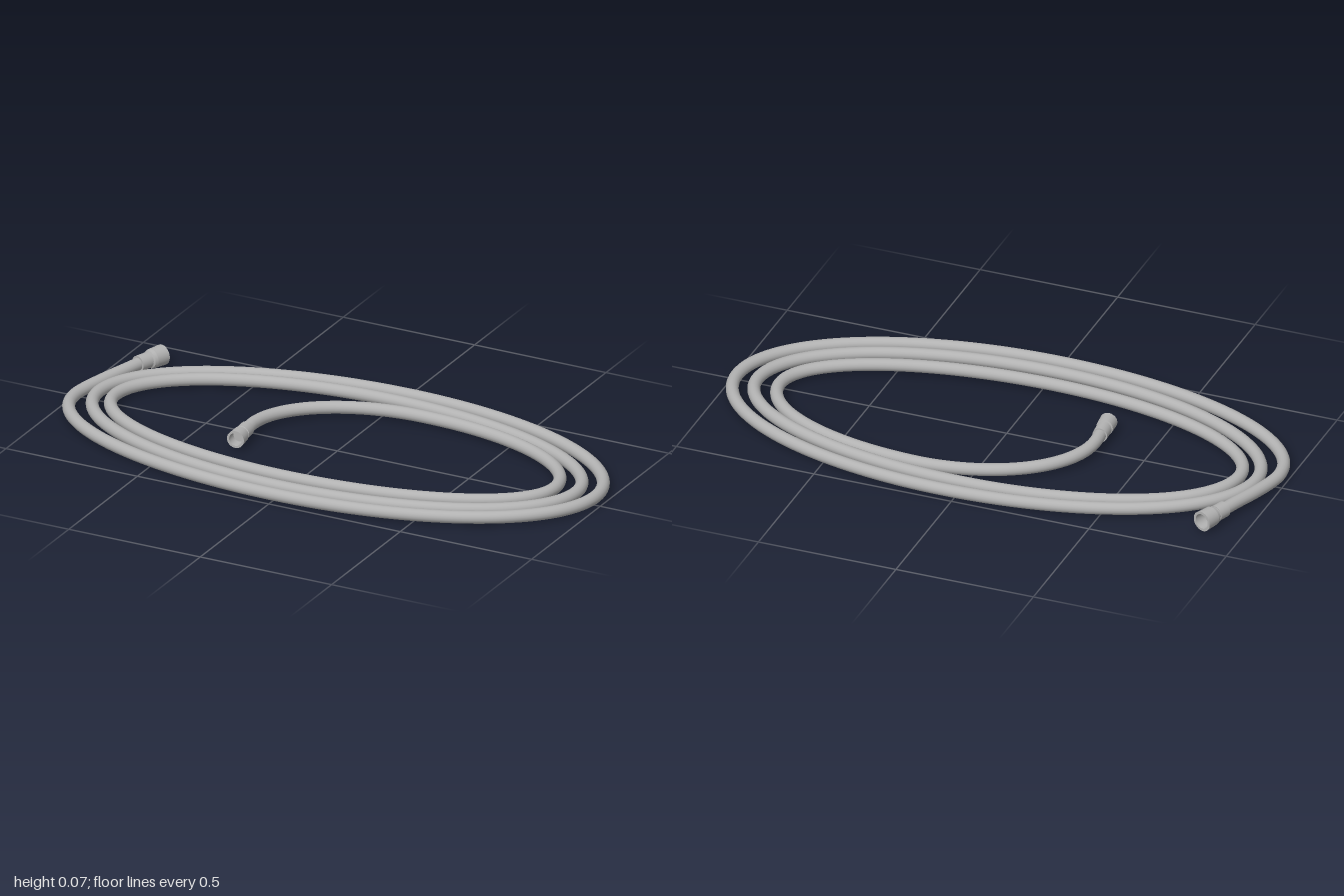
import * as THREE from 'three';

const HOSE_R = 0.022;
const HOSE_Y = 0.029;
const END_Y = 0.039;

// Spiral extremes [x, z], going left, front, right, back in turn
const EXTREMES = [
  [-0.976, 0.04], [0, 0.473], [0.976, -0.01], [0.04, -0.476],
  [-0.917, -0.02], [-0.01, 0.406], [0.902, -0.01], [0, -0.409],
  [-0.855, -0.02], [-0.03, 0.324], [0.82, -0.01], [0.17, -0.337],
  [-0.322, 0.0],
];

// Quarter ellipses joined with matching tangents
function hosePath() {
  const pts = [];
  const add = (x, y, z) => pts.push(new THREE.Vector3(x, y, z));
  add(-0.888, END_Y, -0.29);
  add(-0.912, 0.037, -0.21);
  add(-0.945, 0.033, -0.11);
  add(-0.969, 0.03, -0.02);
  const steps = 10;
  for (let i = 0; i < EXTREMES.length - 1; i++) {
    const [x0, z0] = EXTREMES[i];
    const [x1, z1] = EXTREMES[i + 1];
    const last = i === EXTREMES.length - 2;
    for (let k = 0; k < steps; k++) {
      const t = (k / steps) * Math.PI / 2;
      const c = Math.cos(t), s = Math.sin(t);
      const y = last ? HOSE_Y + (END_Y - HOSE_Y) * k / steps : HOSE_Y;
      if (i % 2 === 0) add(x1 + (x0 - x1) * c, y, z0 + (z1 - z0) * s);
      else add(x0 + (x1 - x0) * s, y, z1 + (z0 - z1) * c);
    }
  }
  add(-0.322, END_Y, 0);
  add(-0.32, END_Y, 0.035);
  add(-0.317, END_Y, 0.075);
  const curve = new THREE.CatmullRomCurve3(pts);
  curve.arcLengthDivisions = 1500;
  return curve;
}

// Hard-edged turned part: each profile segment is its own lathe band
function turned(name, profile, material, from, to) {
  const group = new THREE.Group();
  group.name = name;
  for (let i = 0; i < profile.length - 1; i++) {
    const band = [profile[i], profile[i + 1]].map(([r, h]) => new THREE.Vector2(r, h));
    const mesh = new THREE.Mesh(new THREE.LatheGeometry(band, 32), material);
    mesh.name = name + 'Band';
    group.add(mesh);
  }
  const dir = to.clone().sub(from).normalize();
  group.position.copy(from);
  group.quaternion.setFromUnitVectors(new THREE.Vector3(0, 1, 0), dir);
  return group;
}

export function createModel() {
  const model = new THREE.Group();
  model.name = 'coiledHose';
  const metal = new THREE.MeshStandardMaterial({ color: 0xb2b2b2 });
  metal.name = 'grey metal';

  const hose = new THREE.Mesh(new THREE.TubeGeometry(hosePath(), 600, HOSE_R, 18, false), metal);
  hose.name = 'hose';
  model.add(hose);

  // Large flared nut with its collar and open socket
  const nut = [
    [0.021, 0], [0.028, 0], [0.028, 0.045], [0.025, 0.045], [0.025, 0.05],
    [0.031, 0.053], [0.034, 0.064], [0.036, 0.114],
    [0.027, 0.114], [0.026, 0.07], [0.0, 0.07],
  ];
  model.add(turned('outerFitting', nut, metal,
    new THREE.Vector3(-0.896, END_Y, -0.262), new THREE.Vector3(-0.858, END_Y, -0.37)));

  // Slim cylindrical connector with groove and open socket
  const connector = [
    [0.021, 0], [0.026, 0], [0.027, 0.046], [0.024, 0.048], [0.024, 0.053],
    [0.029, 0.055], [0.031, 0.102], [0.023, 0.102], [0.022, 0.065], [0.0, 0.065],
  ];
  model.add(turned('innerFitting', connector, metal,
    new THREE.Vector3(-0.32, END_Y, 0.046), new THREE.Vector3(-0.311, END_Y, 0.148)));

  return model;
}
